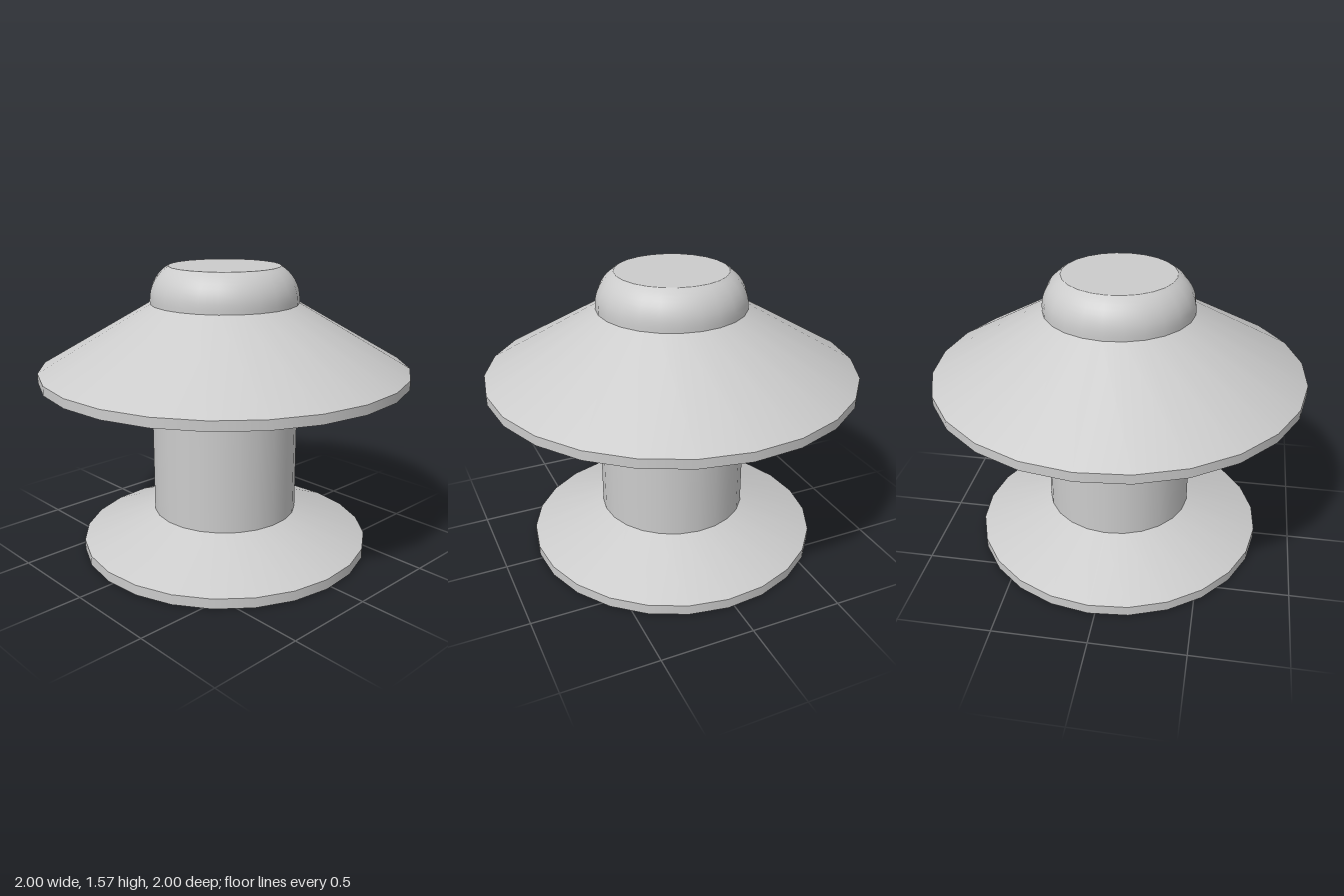
import * as THREE from 'three';

const SIDES = 24;
const START = THREE.MathUtils.degToRad(-2.5);

export function createModel() {
  const model = new THREE.Group();
  const material = new THREE.MeshStandardMaterial({ color: 0xcccccc });

  // One smooth band turned about the y axis; separate bands keep hard edges between them.
  function band(name, points, parent) {
    const profile = points.map(([r, y]) => new THREE.Vector2(r, y));
    const mesh = new THREE.Mesh(
      new THREE.LatheGeometry(profile, SIDES, START, Math.PI * 2), material);
    mesh.name = name;
    parent.add(mesh);
  }

  function part(name) {
    const group = new THREE.Group();
    group.name = name;
    model.add(group);
    return group;
  }

  // Foot: thin disc with a sloping top
  const foot = part('foot');
  band('footUnderside', [[0, 0], [0.8, 0]], foot);
  band('footRim', [[0.8, 0], [0.8, 0.055]], foot);
  band('footSlope', [[0.8, 0.055], [0.4, 0.215]], foot);

  // Straight column
  band('column', [[0.4, 0.215], [0.4, 0.8]], model);

  // Wide double-cone flange
  const flange = part('flange');
  band('flangeUnderside', [[0.4, 0.8], [1, 0.98]], flange);
  band('flangeRim', [[1, 0.98], [1, 1.03]], flange);
  band('flangeSlope', [[1, 1.03], [0.4, 1.378]], flange);

  // Rounded cap, cut flat on top
  const cap = part('cap');
  const arc = [[0.4, 1.378]];
  for (let i = 0; i <= 8; i++) {
    const a = THREE.MathUtils.degToRad(60) * i / 8;
    arc.push([0.2 + 0.2 * Math.cos(a), 1.4 + 0.2 * Math.sin(a)]);
  }
  band('capShoulder', arc, cap);
  band('capTop', [arc[arc.length - 1], [0, 1.573]], cap);

  return model;
}
